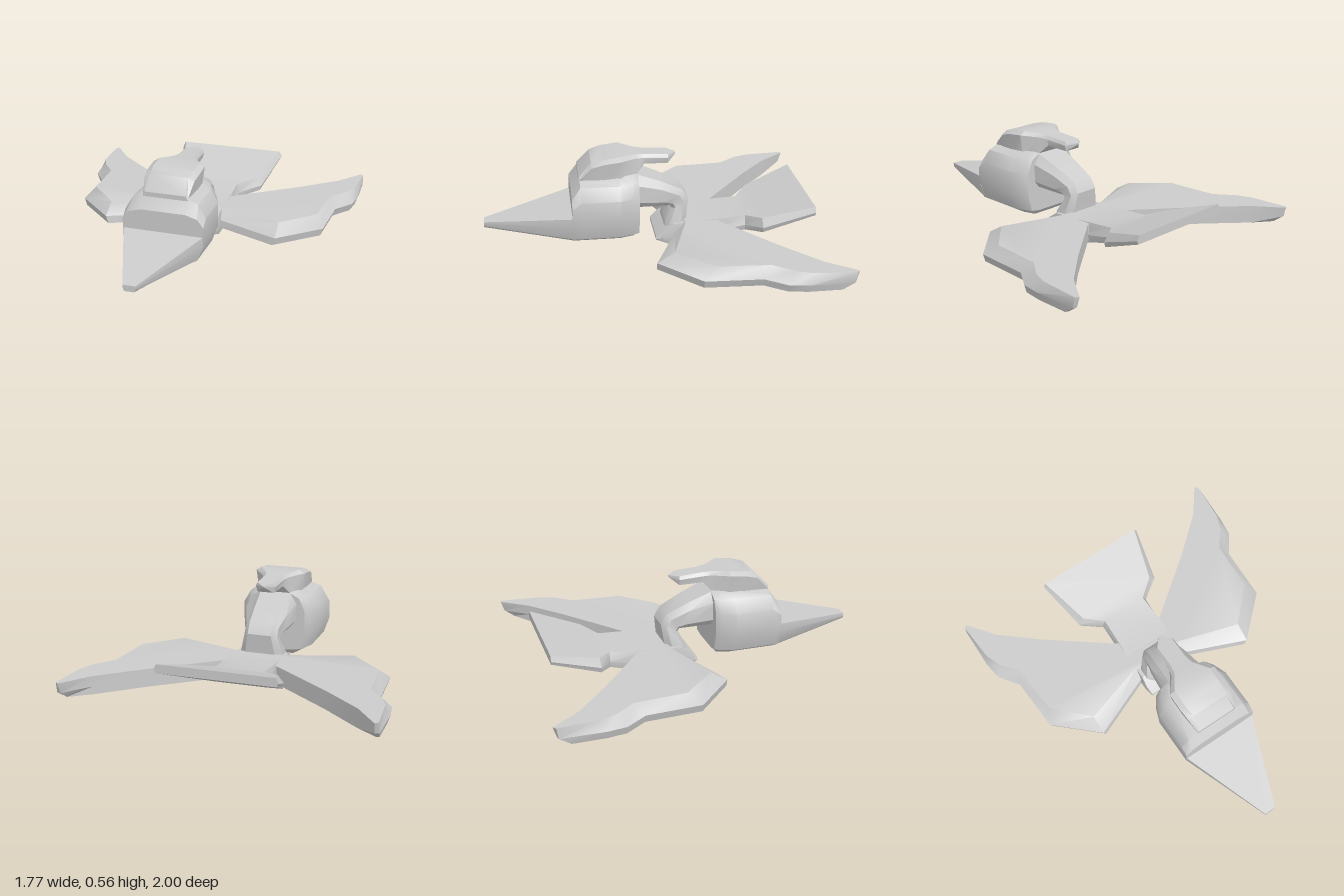
import * as THREE from 'three';
import { toCreasedNormals } from 'three/addons/utils/BufferGeometryUtils.js';

const material = new THREE.MeshStandardMaterial({ color: 0xcccccc });

// Closes half a cross-section (x > 0 side) into a symmetric ring
const mirror = (half) => [...half, ...half.slice().reverse().map(([x, y, z]) => [-x, y, z])];

// Area-weighted normal of a polygon
function ringNormal(ring) {
  const n = new THREE.Vector3();
  ring.forEach((p, i) => {
    const q = ring[(i + 1) % ring.length];
    n.add(new THREE.Vector3(...p).cross(new THREE.Vector3(...q)));
  });
  return n;
}

// Skins a list of rings with equal point counts and caps both ends
function loft(name, rings, crease = 0.6) {
  const n = rings[0].length;
  const pts = rings.flat().map((p) => new THREE.Vector3(...p));
  const tris = [];
  for (let r = 0; r < rings.length - 1; r++) {
    for (let i = 0; i < n; i++) {
      const a = r * n + i, b = r * n + ((i + 1) % n);
      tris.push([a, b, b + n], [a, b + n, a + n]);
    }
  }
  const cap = (r, sign) => {
    const normal = ringNormal(rings[r]).multiplyScalar(sign);
    const size = normal.toArray().map(Math.abs);
    const drop = size.indexOf(Math.max(...size));
    const flat = rings[r].map((p) => new THREE.Vector2(...p.filter((_, k) => k !== drop)));
    for (const t of THREE.ShapeUtils.triangulateShape(flat, [])) {
      const [a, b, c] = t.map((i) => r * n + i);
      const face = pts[b].clone().sub(pts[a]).cross(pts[c].clone().sub(pts[a]));
      tris.push(face.dot(normal) > 0 ? [a, b, c] : [a, c, b]);
    }
  };
  cap(0, -1);
  cap(rings.length - 1, 1);
  // Turn the skin outwards when its enclosed volume is negative
  let volume = 0;
  for (const [a, b, c] of tris) volume += pts[a].dot(pts[b].clone().cross(pts[c]));
  const order = volume < 0 ? tris.map(([a, b, c]) => [a, c, b]) : tris;
  const geometry = new THREE.BufferGeometry().setFromPoints(order.flat().map((i) => pts[i]));
  const mesh = new THREE.Mesh(toCreasedNormals(geometry, crease), material);
  mesh.name = name;
  return mesh;
}

// Rounded boxy skull, lofted from back to front
function head() {
  const profile = [[0.12, 0.055], [0.2, 0.1], [0.235, 0.2], [0.235, 0.34], [0.19, 0.415], [0.13, 0.45]];
  const section = (z, sx, lift, top) =>
    mirror(profile.map(([x, y]) => [x * sx, Math.min(Math.max(y, lift), top), z]));
  const front = [[0.12, 0.055], [0.2, 0.1], [0.235, 0.2], [0.235, 0.3], [0.2, 0.345], [0.13, 0.365]];
  return loft('head', [
    section(0.1, 0.78, 0.09, 0.44),
    section(0.13, 0.87, 0.06, 0.45),
    section(0.21, 1, 0.055, 0.45),
    section(0.44, 1, 0.055, 0.435),
    mirror(front.map(([x, y]) => [x, y, 0.49])),
  ]);
}

// Long tapering beak with a flat top
function beak() {
  return loft('beak', [
    mirror([[0.12, 0.055, 0.48], [0.2, 0.1, 0.48], [0.235, 0.19, 0.48], [0.235, 0.245, 0.48]]),
    mirror([[0.026, 0.13, 1], [0.032, 0.138, 1], [0.035, 0.15, 1], [0.035, 0.165, 1]]),
  ]);
}

// Swept crest: z, underside, top, half widths at bottom, shoulder and top
function crest() {
  const stations = [
    [0.445, 0.4, 0.455, 0.12, 0.13, 0.12],
    [0.37, 0.41, 0.535, 0.13, 0.145, 0.11],
    [0.3, 0.41, 0.555, 0.135, 0.152, 0.12],
    [0.2, 0.42, 0.567, 0.135, 0.152, 0.12],
    [0.11, 0.44, 0.558, 0.09, 0.08, 0.06],
    [0.06, 0.495, 0.553, 0.06, 0.065, 0.05],
    [-0.08, 0.49, 0.545, 0.05, 0.06, 0.05],
    [-0.13, 0.53, 0.54, 0.005, 0.006, 0.005],
  ];
  return loft('crest', stations.map(([z, y0, y1, a, b, c]) =>
    mirror([[a, y0, z], [b, y1 - Math.min(0.02, (y1 - y0) / 2), z], [c, y1, z]])), 0.5);
}

// Bent neck: inner point, outer point (z, y) and half width per station
function neck() {
  const stations = [
    [0.14, 0.24, 0.12, 0.45, 0.135],
    [-0.06, 0.235, -0.03, 0.39, 0.115],
    [-0.09, 0.23, -0.165, 0.325, 0.1],
    [-0.1, 0.215, -0.2, 0.265, 0.1],
    [-0.06, 0.14, -0.185, 0.14, 0.13],
    [-0.05, 0.07, -0.18, 0.07, 0.13],
  ];
  return loft('neck', stations.map(([zi, yi, zo, yo, w]) => {
    const at = (x, t) => [x, yi + (yo - yi) * t, zi + (zo - zi) * t];
    return mirror([at(w * 0.75, 0), at(w, 0.2), at(w, 0.72), at(w * 0.7, 1)]);
  }));
}

// Both wings as one slab with a bevelled leading edge
function wings() {
  const edge = [[0.16, -0.11], [0.53, 0.045], [0.77, -0.18], [0.785, -0.5], [0.87, -0.62], [0.885, -0.73]];
  const topEdge = [[0.16, -0.17], [0.53, -0.055], [0.72, -0.25], [0.74, -0.55], [0.825, -0.66], [0.86, -0.75]];
  const back = [[0.74, -0.84], [0.52, -0.65], [0.16, -0.37]];
  const layer = (y, front, inset, tips) =>
    mirror([...front.map(([x, z]) => [x - inset, y, z]), ...tips.map(([x, z]) => [x, y, z]),
      ...back.map(([x, z]) => [x, y, z])]);
  return loft('wings', [
    layer(0.045, edge, 0.015, [[0.87, -0.91], [0.855, -0.92]]),
    layer(0.09, edge, 0, [[0.88, -0.975], [0.858, -0.98]]),
    layer(0.15, topEdge, 0, [[0.878, -0.985], [0.86, -1]]),
  ]);
}

// Body slab running back into the raised fan tail
function bodyAndTail() {
  const stations = [
    [0.0, 0.04, 0.06, 0.145, 0.15],
    [-0.045, 0.025, 0.1, 0.155, 0.16],
    [-0.1, 0.002, 0.14, 0.15, 0.16],
    [-0.3, 0.015, 0.152, 0.15, 0.16],
    [-0.53, 0.08, 0.168, 0.14, 0.16],
    [-0.61, 0.115, 0.193, 0.245, 0.282],
    [-0.9, 0.235, 0.285, 0.328, 0.343],
  ];
  return loft('bodyAndTail', stations.map(([z, y0, y1, top, mid]) =>
    mirror([[mid - 0.01, y0, z], [mid, y0 + (y1 - y0) * 0.4, z], [top, y1, z]])), 0.5);
}

export function createModel() {
  const model = new THREE.Group();
  model.name = 'bird';
  model.add(head(), beak(), crest(), neck(), wings(), bodyAndTail());
  // Stand on the ground
  model.position.y = -0.002;
  return model;
}
